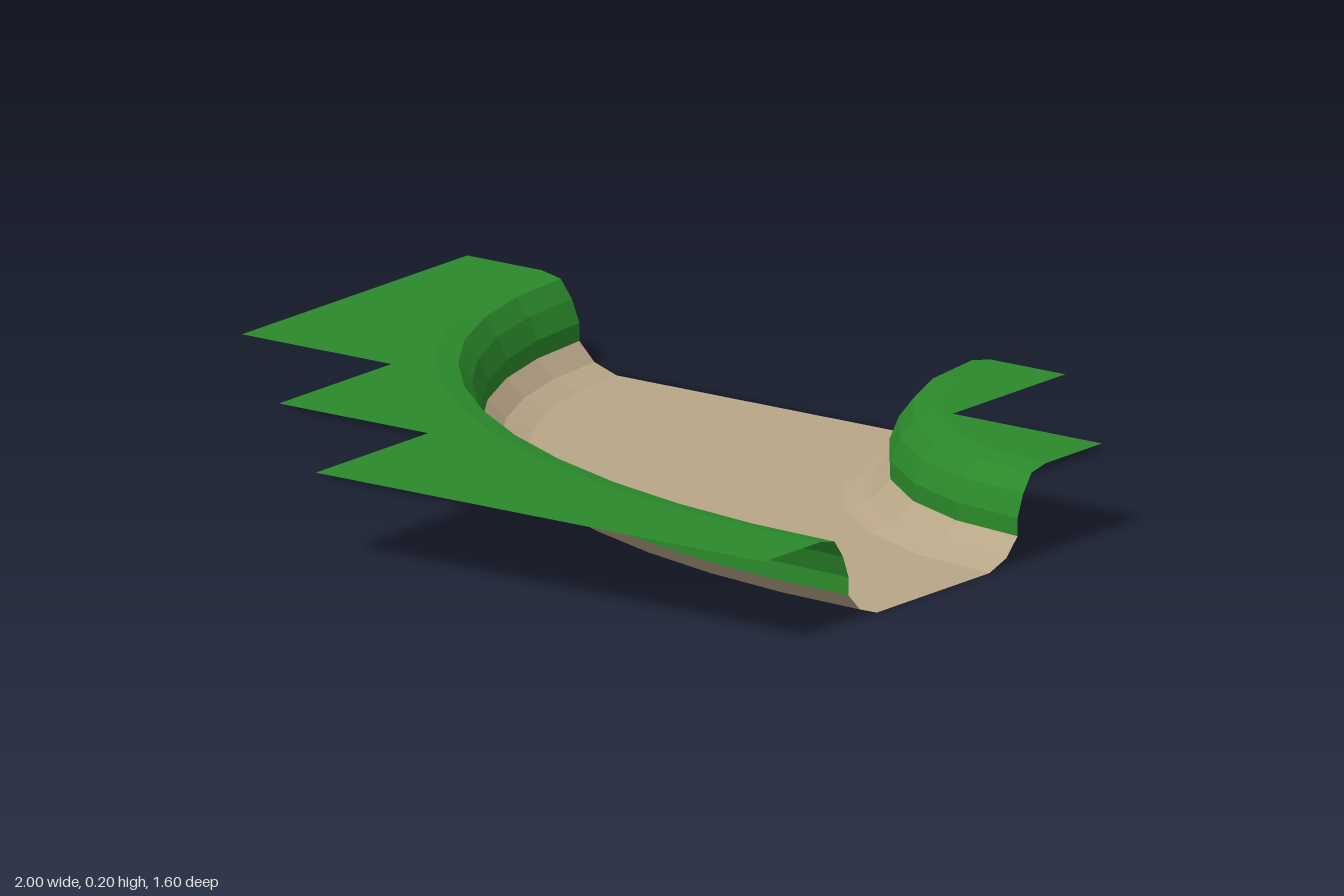
import * as THREE from 'three';

const CX = 1, CZ = -0.8; // centre of the bend
const OUTER = { rx: 1.7, rz: 1.3, side: 1, segments: 12 };
const INNER = { rx: 0.7, rz: 0.7, side: -1, segments: 6 };

// Bank profile: [distance from the waterline towards the grass, height]
const GRASS_PROFILE = [[0.1, 0.2], [0.05, 0.19], [0.02, 0.15], [0, 0.1], [0, 0.06]];
const DIRT_PROFILE = [[0, 0.06], [-0.04, 0.02], [-0.1, 0]];

const material = (color) =>
  new THREE.MeshStandardMaterial({ color, flatShading: true, side: THREE.DoubleSide });

// Quarter-ellipse of [x, z] points, moved sideways by an offset
function arc({ rx, rz, side, segments }, offset) {
  return Array.from({ length: segments + 1 }, (_, i) => {
    const t = (i / segments) * Math.PI / 2;
    return [CX - (rx + side * offset) * Math.cos(t), CZ + (rz + side * offset) * Math.sin(t)];
  });
}

// Sweep a bank profile around the bend
function bankGeometry(bend, profile) {
  const positions = [], index = [];
  const row = bend.segments + 1;
  profile.forEach(([offset, y]) => arc(bend, offset).forEach(([x, z]) => positions.push(x, y, z)));
  for (let j = 0; j < profile.length - 1; j++) {
    for (let i = 0; i < bend.segments; i++) {
      const a = j * row + i, b = a + 1, d = a + row, c = d + 1;
      if (bend.side > 0) index.push(a, b, d, b, c, d);
      else index.push(a, d, b, b, d, c);
    }
  }
  const geometry = new THREE.BufferGeometry();
  geometry.setAttribute('position', new THREE.Float32BufferAttribute(positions, 3));
  geometry.setIndex(index);
  geometry.computeVertexNormals();
  return geometry;
}

// Flat horizontal sheet from an outline of [x, z] points
function sheetGeometry(points, y) {
  const shape = new THREE.Shape(points.map(([x, z]) => new THREE.Vector2(x, -z)));
  return new THREE.ShapeGeometry(shape).rotateX(-Math.PI / 2).translate(0, y, 0);
}

export function createModel() {
  const group = new THREE.Group();
  const grass = material(0x2b8a2b);
  const dirt = material(0xb9a688);
  const add = (name, geometry, mat) => {
    const mesh = new THREE.Mesh(geometry, mat);
    mesh.name = name;
    group.add(mesh);
  };

  // River bed between the two banks
  add('riverBed', sheetGeometry([...arc(OUTER, -0.1), ...arc(INNER, -0.1).reverse()], 0), dirt);

  // Rounded banks: grass lip above, dirt foot below
  for (const [name, bend] of [['outer', OUTER], ['inner', INNER]]) {
    add(name + 'GrassBank', bankGeometry(bend, GRASS_PROFILE), grass);
    add(name + 'DirtBank', bankGeometry(bend, DIRT_PROFILE), dirt);
  }

  // Stepped grass tops
  const outerSteps = [[1, 0.8], [-0.2, 0.8], [-0.2, 0.4], [-0.6, 0.4], [-0.6, 0], [-1, 0], [-1, -0.8]];
  const innerSteps = [[1, -0.4], [0.6, -0.4], [0.6, -0.8]];
  add('outerGrassTop', sheetGeometry([...arc(OUTER, 0.1), ...outerSteps], 0.2), grass);
  add('innerGrassTop', sheetGeometry([...arc(INNER, 0.1), ...innerSteps], 0.2), grass);

  return group;
}
